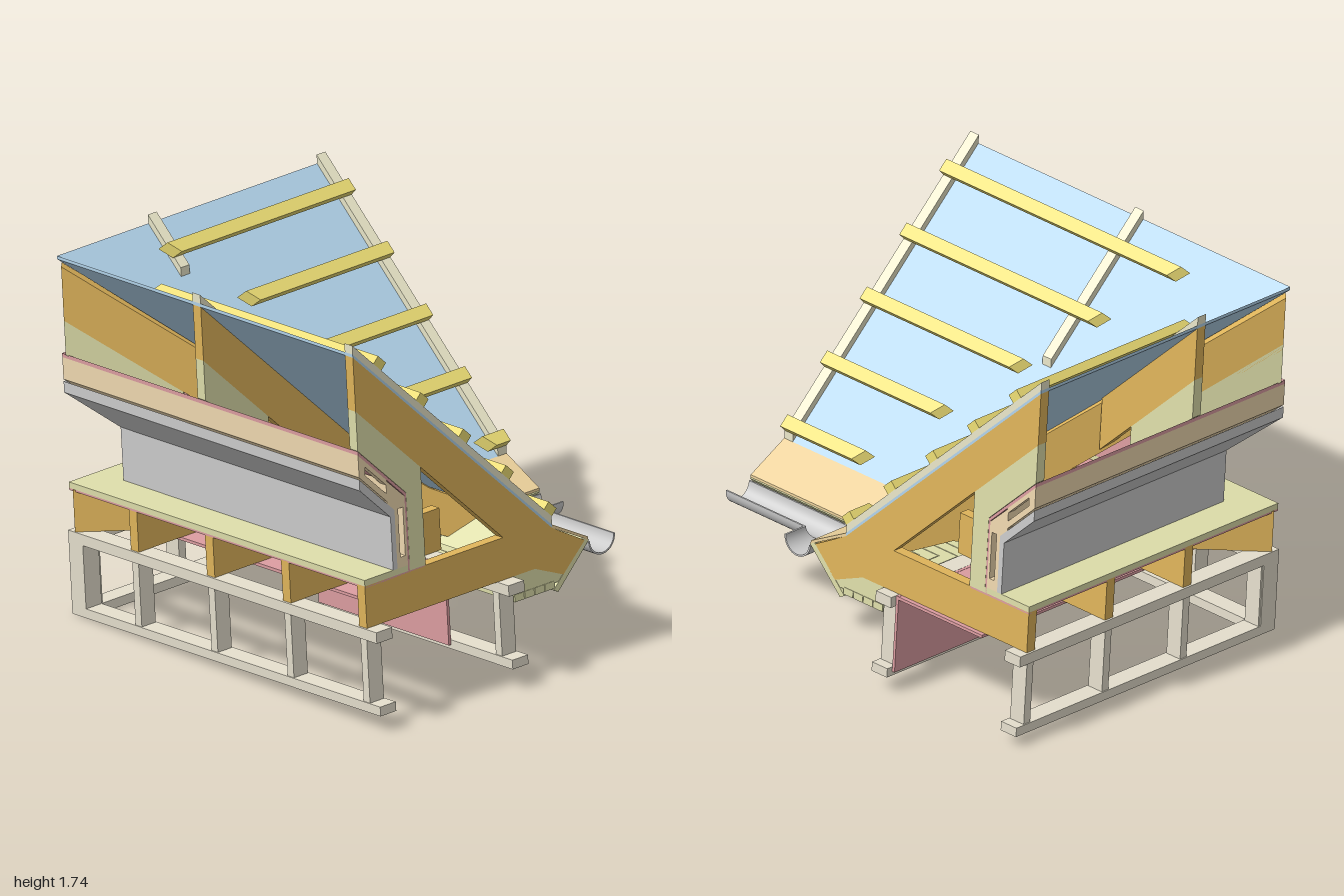
import * as THREE from 'three';
import { toCreasedNormals } from 'three/addons/utils/BufferGeometryUtils.js';

const COLORS = {
  wood: 0xe0b55b, pale: 0xdedeaa, cream: 0xe5dfcd, counter: 0xe9e6c8, batten: 0xecdd74,
  blue: 0xb2d3ea, tan: 0xecd29c, pink: 0xdc9da1, lath: 0xf0d9b0, grey: 0xcccccc,
};
const materials = {};
for (const key in COLORS) {
  materials[key] = new THREE.MeshStandardMaterial({ color: COLORS[key], side: THREE.DoubleSide });
}

// The two wings mirror each other about the diagonal z = x - SHIFT.
const SHIFT = 0.17;
const EDGE = -0.765;   // high outer edge of the cross-section
const ROOF = 0.86;     // the roof plane is x + y = ROOF
const SPACING = 0.485;

// Extrudes a cross-section (x, y) and then places each vertex with a rule.
function extrude(profile, place) {
  const shape = new THREE.Shape(profile.map(([x, y]) => new THREE.Vector2(x, y)));
  const geo = new THREE.ExtrudeGeometry(shape, { depth: 1, bevelEnabled: false });
  const p = geo.attributes.position;
  for (let i = 0; i < p.count; i++) p.setXYZ(i, ...place(p.getX(i), p.getY(i), p.getZ(i)));
  return geo;
}

// Swaps two corners of every triangle, so that mirrored faces point outwards.
function flip(geo) {
  const a = geo.attributes.position.array;
  for (let i = 0; i < a.length; i += 9) {
    for (let k = 3; k < 6; k++) [a[i + k], a[i + k + 3]] = [a[i + k + 3], a[i + k]];
  }
}

function addMesh(group, name, color, geo) {
  geo.deleteAttribute('uv');
  const mesh = new THREE.Mesh(toCreasedNormals(geo, 0.5), materials[color]);
  mesh.name = name;
  group.add(mesh);
}

const rect = (x0, x1, y0, y1) => [[x0, y0], [x1, y0], [x1, y1], [x0, y1]];
// Sloping strip between two planes x + y = s0 and x + y = s1.
const slope = (x0, x1, s0, s1) => [[x0, s0 - x0], [x1, s0 - x1], [x1, s1 - x1], [x0, s1 - x0]];

// Truss outlines, also used for the diagonal truss under the valley.
const RAFTER = [[EDGE, 1.61], [0.31, 0.535], [0.49, 0.43], [0.36, 0.31], [0.2, 0.38], [0.03, 0.57], [EDGE, 1.365]];
const CHORD = [[EDGE, 0.38], [0.2, 0.38], [0.03, 0.57], [EDGE, 0.57]];
const BRACE = [[EDGE, 1.365], [-0.415, 1.015], [-0.415, 0.57], [-0.505, 0.57], [-0.505, 0.925], [EDGE, 1.185]];

function makeWing(name, end, frameEnd, mirrored) {
  const wing = new THREE.Group();
  wing.name = name;

  const prism = (part, color, profile, startAt, z1) => {
    const geo = extrude(profile, (x, y, t) => {
      const z = THREE.MathUtils.lerp(startAt(x), z1, t);
      return mirrored ? [z + SHIFT, y, x - SHIFT] : [x, y, z];
    });
    if (mirrored) flip(geo);
    addMesh(wing, part, color, geo);
  };
  // Runs along the wing and is mitred at the diagonal.
  const run = (part, color, profile, z1 = end, gap = 0) => prism(part, color, profile, (x) => x - SHIFT + gap, z1);
  // Flat piece across the wing, ending at z1.
  const slab = (part, color, profile, z1, thick = 0.05) => prism(part, color, profile, () => z1 - thick, z1);

  // Roof covering, eave board and roof battens
  run('roofMembrane', 'blue', slope(EDGE, 0.31, ROOF - 0.015, ROOF));
  run('eaveBoard', 'tan', [[0.31, 0.535], [0.51, 0.425], [0.51, 0.44], [0.31, 0.55]]);
  for (let i = 0; i < 5; i++) {
    const x = -0.615 + i * 0.23;
    const c = [x, 0.928 - x];
    const corners = [[-1, -1], [1, -1], [1, 1], [-1, 1]].map(([s, n]) => [
      c[0] + (s * 0.03 + n * 0.02) * Math.SQRT1_2, c[1] + (-s * 0.03 + n * 0.02) * Math.SQRT1_2]);
    run('roofBatten', 'batten', corners, end, 0.36);
  }

  // Trusses, joists and wall studs at equal spacing
  for (let k = 0; k < 4; k++) {
    const z = end - k * SPACING;
    const tail = z - 0.05 + SHIFT;
    if (k === 0) {
      slab('rafter', 'wood', RAFTER, z);
      slab('joist', 'wood', CHORD, z);
      slab('counterBatten', 'counter', slope(EDGE, 0.31, ROOF, ROOF + 0.04), z);
    } else if (tail > -0.6) {
      slab('joist', 'wood', rect(EDGE, Math.min(tail, 0.1), 0.38, 0.57), z);
    }
    if (k === 2) {
      slab('rafter', 'wood', slope(EDGE, tail, 0.6, ROOF - 0.015), z);
      slab('counterBatten', 'counter', slope(EDGE, tail - 0.33, ROOF, ROOF + 0.04), z);
    }
    if (k % 2 === 0) slab('kneeBrace', 'pale', BRACE, z);
    slab('outerStud', 'cream', rect(-0.77, -0.69, 0.04, 0.33), z, 0.04);
    if (z > -0.25) slab('innerStud', 'cream', rect(-0.01, 0.07, 0.04, 0.33), z, 0.04);
  }

  // Stud walls: plates and corner posts
  for (const [part, x] of [['outerWall', -0.775], ['innerWall', -0.015]]) {
    run(part + 'BottomPlate', 'cream', rect(x, x + 0.09, 0, 0.042), frameEnd);
    run(part + 'TopPlate', 'cream', rect(x, x + 0.09, 0.33, 0.38), frameEnd);
    run(part + 'CornerPost', 'cream', rect(x, x + 0.09, 0.042, 0.33), x + 0.09 - SHIFT);
  }

  // Lining sheets
  run('wallLining', 'pink', rect(-0.03, -0.016, 0.02, 0.38), 0.63);
  run('ceilingLining', 'pink', rect(-0.52, -0.03, 0.365, 0.379), 0.63);
  run('floorLining', 'pink', rect(EDGE, -0.42, 0.562, 0.571));
  run('kneeLining', 'pink', [[-0.515, 0.57], [-0.515, 0.915], [EDGE, 1.165], [EDGE, 1.183], [-0.506, 0.924], [-0.506, 0.57]]);

  // Floor and inner boarding
  run('floorBoard', 'pale', rect(EDGE, -0.505, 0.571, 0.598));
  run('innerBoard', 'grey', [[-0.6, 0.598], [-0.6, 0.84], [EDGE, 1.005], [EDGE, 1.055], [-0.575, 0.865], [-0.575, 0.598]]);

  // Batten lattice between lining and boarding
  run('lath', 'lath', slope(EDGE, -0.73, 0.3, 0.4));
  run('lath', 'lath', [[-0.575, 0.865], [-0.615, 0.905], [-0.615, 1.01], [-0.515, 0.912], [-0.515, 0.865]]);
  run('lath', 'lath', rect(-0.575, -0.515, 0.598, 0.645));
  for (let z = end; z > -0.5; z -= SPACING / 2) {
    slab('crossLath', 'lath', slope(-0.74, -0.61, 0.3, 0.335), z, 0.04);
    slab('crossLath', 'lath', slope(-0.74, -0.61, 0.375, 0.4), z, 0.04);
    slab('crossLath', 'lath', rect(-0.575, -0.555, 0.64, 0.87), z, 0.04);
    slab('crossLath', 'lath', rect(-0.527, -0.515, 0.64, 0.87), z, 0.04);
  }

  // Sloping fascia and soffit boards
  run('fascia', 'pale', [[0.3, 0.255], [0.325, 0.24], [0.515, 0.425], [0.49, 0.44]]);
  for (let i = 0; i < 4; i++) {
    const x = 0.078 + i * 0.058;
    run('soffitBoard', 'pale', rect(x, x + 0.054, 0.262, 0.295));
  }
  slab('soffitBlock', 'pale', [[0.08, 0.295], [0.33, 0.285], [0.4, 0.352], [0.36, 0.37], [0.2, 0.38], [0.08, 0.38]], end - 0.002);

  // Half-round gutter
  const gutter = [];
  const N = 18;
  for (const [r, dir] of [[0.076, 1], [0.068, -1]]) {
    for (let i = 0; i <= N; i++) {
      const a = Math.PI * (dir > 0 ? 1 + i / N : 2 - i / N);
      gutter.push([0.587 + r * Math.cos(a), 0.415 + r * Math.sin(a)]);
    }
  }
  run('gutter', 'grey', gutter);
  return wing;
}

export function createModel() {
  const model = new THREE.Group();
  model.name = 'roofValleySection';
  const body = new THREE.Group();
  body.name = 'tiltedBody';
  body.add(makeWing('leftWing', 0.95, 1.02, false));
  body.add(makeWing('rightWing', 0.61, 0.66, true));

  // Diagonal truss under the valley
  const valley = new THREE.Group();
  valley.name = 'valleyTruss';
  for (const [part, color, profile] of [['valleyRafter', 'wood', RAFTER], ['valleyJoist', 'wood', CHORD], ['valleyBrace', 'pale', BRACE]]) {
    addMesh(valley, part, color, extrude(profile, (x, y, t) => {
      const off = (t - 0.5) * 0.04;
      const drop = y > 0.58 && part === 'valleyRafter' ? 0.025 : 0;
      return [x + 0.012 - off, y - drop, x + 0.012 - SHIFT + off];
    }));
  }
  body.add(valley);

  // The whole section stands slightly tilted on its back corner
  body.rotation.set(-0.038, 0, 0.032);
  body.position.y = 0.06;
  model.add(body);
  return model;
}
